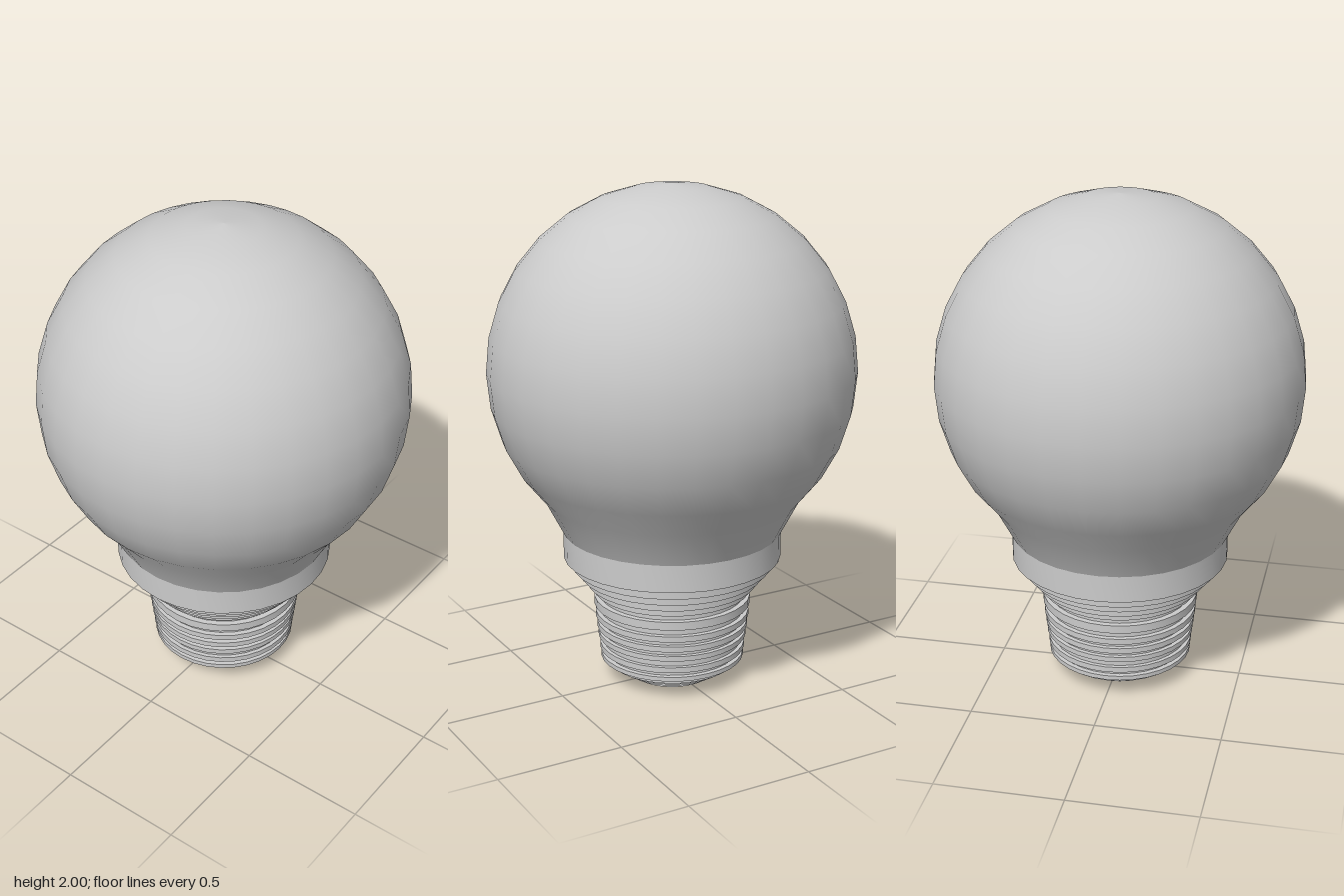
import * as THREE from 'three';
import { toCreasedNormals } from 'three/addons/utils/BufferGeometryUtils.js';

const SEGMENTS = 32;

export function createModel() {
  const group = new THREE.Group();
  const material = new THREE.MeshStandardMaterial({ color: 0xcccccc });
  const add = (name, geometry) => {
    const mesh = new THREE.Mesh(geometry, material);
    mesh.name = name;
    group.add(mesh);
  };

  // Glass bulb: short flared neck running into a sphere
  const radius = 0.72, centreY = 1.28, step = Math.PI / 16;
  const glass = [new THREE.Vector2(0.435, 0.625), new THREE.Vector2(0.51, 0.77)];
  for (let i = -3; i <= 8; i++) {
    const r = i === 8 ? 0 : radius * Math.cos(i * step);
    glass.push(new THREE.Vector2(r, centreY + radius * Math.sin(i * step)));
  }
  add('glassBulb', new THREE.LatheGeometry(glass, SEGMENTS));

  // Stepped turning from [radius, top height] pairs, bottom to top
  const stepped = (steps, bottom) => {
    const points = [];
    let y = bottom;
    for (const [r, top] of steps) {
      points.push(new THREE.Vector2(r, y), new THREE.Vector2(r, top));
      y = top;
    }
    return points;
  };
  const turned = (points) => toCreasedNormals(new THREE.LatheGeometry(points, SEGMENTS), 0.5);

  // Screw base: contact tip, threads with grooves, widening shoulder
  const base = stepped([
    [0.165, 0.022], [0.2, 0.043], [0.233, 0.06], [0.26, 0.082],
    [0.29, 0.1], [0.27, 0.12], [0.294, 0.143], [0.278, 0.172],
    [0.3, 0.193], [0.283, 0.213], [0.305, 0.236], [0.287, 0.257],
    [0.31, 0.281], [0.29, 0.31], [0.315, 0.344], [0.292, 0.37],
    [0.317, 0.402], [0.343, 0.437], [0.37, 0.475], [0.402, 0.515],
  ], 0);
  add('screwBase', turned([new THREE.Vector2(0, 0), ...base]));

  // Collar ring between base and glass
  add('collar', turned([new THREE.Vector2(0.402, 0.515), ...stepped([[0.435, 0.625]], 0.515)]));

  return group;
}
